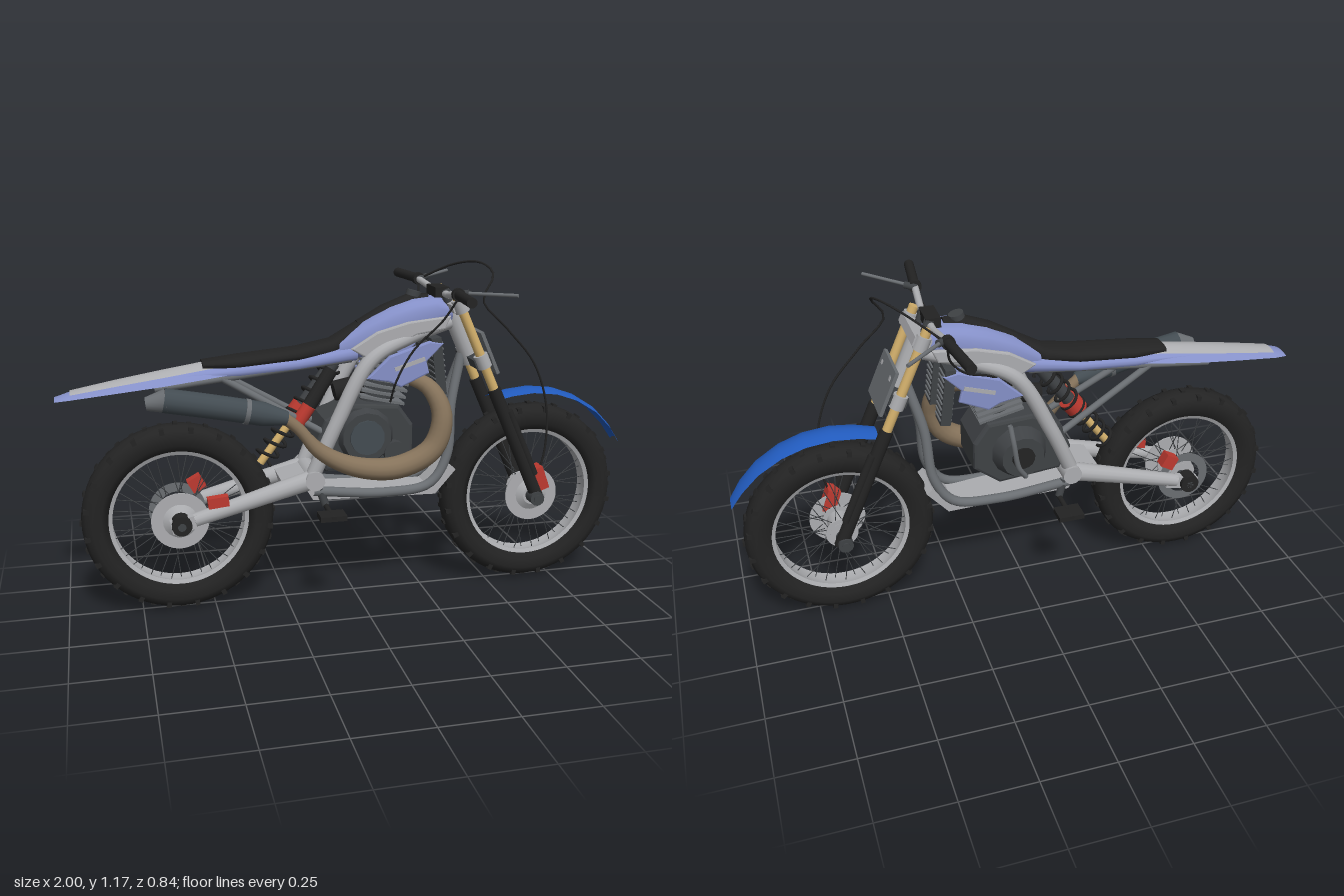
import * as THREE from 'three';
import { mergeGeometries, toCreasedNormals } from 'three/addons/utils/BufferGeometryUtils.js';

const colour = (name, hex) => {
  const m = new THREE.MeshStandardMaterial({ color: hex, side: THREE.DoubleSide });
  m.name = name;
  return m;
};
const black = colour('black rubber', 0x232323), dark = colour('dark metal', 0x3f4245);
const mid = colour('mid grey', 0x6a6e72), light = colour('light alloy', 0xacadb0);
const lilac = colour('lilac plastic', 0x8590c8), blue = colour('blue plastic', 0x215abc);
const gold = colour('gold fork', 0xd3b06c), brown = colour('brown pipe', 0x86735b);
const red = colour('red caliper', 0xbd3a30), slate = colour('slate silencer', 0x434c52);

const V = (p) => new THREE.Vector3(...p);
const sides = [1, -1];

export function createModel() {
  const model = new THREE.Group();
  model.name = 'dirtBike';
  const add = (name, geo, mat, parent = model) => {
    const m = new THREE.Mesh(geo, mat);
    m.name = name;
    parent.add(m);
    return m;
  };
  const rodGeo = (a, b, r, r2 = r, n = 14) => {
    const d = V(b).sub(V(a));
    const q = new THREE.Quaternion().setFromUnitVectors(new THREE.Vector3(0, 1, 0), d.clone().normalize());
    const c = V(a).addScaledVector(d, 0.5);
    return new THREE.CylinderGeometry(r2, r, d.length(), n).applyQuaternion(q).translate(c.x, c.y, c.z);
  };
  const rod = (name, a, b, r, mat, r2) => add(name, rodGeo(a, b, r, r2), mat);
  const box = (name, size, pos, mat, rz = 0) => {
    const m = add(name, new THREE.BoxGeometry(...size), mat);
    m.position.set(...pos);
    m.rotation.z = rz;
    return m;
  };
  // Smooth tube whose thickness may vary along its length
  const tube = (name, pts, r, mat, taper) => {
    const path = new THREE.CatmullRomCurve3(pts.map(V)), n = 40, k = r < 0.008 ? 6 : 14;
    const geo = new THREE.TubeGeometry(path, n, r, k), p = geo.attributes.position;
    if (taper) for (let i = 0; i < p.count; i++) {
      const t = Math.floor(i / (k + 1)) / n, c = path.getPointAt(t);
      const v = new THREE.Vector3().fromBufferAttribute(p, i).sub(c).multiplyScalar(taper(t)).add(c);
      p.setXYZ(i, v.x, v.y, v.z);
    }
    return add(name, geo, mat);
  };
  // Side outline in x,y extruded from z0 to z1
  const plate = (name, pts, z0, z1, mat, bevel = 0) => {
    const shape = new THREE.Shape(pts.map((p) => new THREE.Vector2(...p)));
    const geo = new THREE.ExtrudeGeometry(shape, { depth: z1 - z0 - 2 * bevel, bevelEnabled: bevel > 0,
      bevelSize: bevel, bevelThickness: bevel, bevelOffset: -bevel, bevelSegments: 2 });
    return add(name, geo.translate(0, 0, z0 + bevel), mat);
  };
  // Closed body from rounded sections: x, top, bottom, half width
  const loft = (name, secs, mat) => {
    const n = 20, pos = [], idx = [], pw = (v) => Math.sign(v) * Math.abs(v) ** 0.7;
    secs.forEach(([x, t, b, w]) => {
      for (let j = 0; j < n; j++) {
        const a = (j / n) * Math.PI * 2;
        pos.push(x, (t + b) / 2 + ((t - b) / 2) * pw(Math.sin(a)), w * pw(Math.cos(a)));
      }
    });
    const last = (secs.length - 1) * n;
    for (let i = 0; i < secs.length - 1; i++) for (let j = 0; j < n; j++) {
      const a = i * n + j, b = i * n + ((j + 1) % n);
      idx.push(a, a + n, b, a + n, b + n, b);
    }
    for (let j = 1; j < n - 1; j++) idx.push(0, j, j + 1, last, last + j + 1, last + j);
    const g = new THREE.BufferGeometry();
    g.setAttribute('position', new THREE.Float32BufferAttribute(pos, 3));
    g.setIndex(idx);
    return add(name, toCreasedNormals(g, 0.9), mat);
  };
  // Thin arched sheet from stations: x, y, half width, edge drop
  const sheet = (name, st, mat) => {
    const n = 10, g = new THREE.PlaneGeometry(1, 1, n, st.length - 1), p = g.attributes.position;
    for (let i = 0; i < p.count; i++) {
      const [x, y, w, d] = st[Math.floor(i / (n + 1))], u = ((i % (n + 1)) / n) * 2 - 1;
      p.setXYZ(i, x, y - d * u * u, w * u);
    }
    g.computeVertexNormals();
    return add(name, g, mat);
  };

  // Wheels: tyre, knobs, rim, hub, spokes, discs
  const lathe = (pts) => new THREE.LatheGeometry(pts.map((p) => new THREE.Vector2(...p)), 64).rotateX(Math.PI / 2);
  const wheel = (name, x, front) => {
    const g = new THREE.Group();
    g.name = name;
    g.position.set(x, 0.332, 0);
    model.add(g);
    add('tyre', lathe([[0.236, -0.035], [0.26, -0.05], [0.29, -0.053], [0.312, -0.044], [0.324, -0.022], [0.326, 0],
      [0.324, 0.022], [0.312, 0.044], [0.29, 0.053], [0.26, 0.05], [0.236, 0.035], [0.236, -0.035]]), black, g);
    add('rim', toCreasedNormals(lathe([[0.224, -0.03], [0.24, -0.037], [0.24, 0.037], [0.224, 0.03],
      [0.23, 0], [0.224, -0.03]]), 0.6), light, g);
    const knobs = [], spokes = [];
    for (let i = 0; i < 40; i++) {
      const zs = i % 2 ? [-0.036, 0.036] : [0];
      zs.forEach((z) => knobs.push(new THREE.BoxGeometry(0.016, 0.025, 0.024)
        .translate(0, z ? 0.309 : 0.3195, z).rotateZ((i / 40) * Math.PI * 2)));
    }
    for (let i = 0; i < 40; i++) {
      const a = (i / 40) * Math.PI * 2, b = a + (i % 4 < 2 ? 0.4 : -0.4), z = i % 2 ? 0.04 : -0.04;
      spokes.push(rodGeo([0.05 * Math.cos(b), 0.05 * Math.sin(b), z],
        [0.229 * Math.cos(a), 0.229 * Math.sin(a), z * 0.2], 0.0016, 0.0016, 5));
    }
    add('tyreKnobs', mergeGeometries(knobs), black, g);
    add('spokes', mergeGeometries(spokes), dark, g);
    add('hub', rodGeo([0, 0, -0.045], [0, 0, 0.045], 0.04, 0.04, 28), light, g);
    sides.forEach((s) => add('hubFlange', rodGeo([0, 0, s * 0.037], [0, 0, s * 0.044], 0.056, 0.056, 28), light, g));
    add('brakeDisc', rodGeo([0, 0, 0.056], [0, 0, 0.061], 0.098, 0.098, 40), light, g);
    add('hubCone', rodGeo([0, 0, 0.06], [0, 0, 0.075], 0.06, 0.035, 28), light, g);
    if (!front) add('rearRotor', new THREE.RingGeometry(0.065, 0.098, 40).translate(0, 0, -0.065), mid, g);
    add('axle', rodGeo([0, 0, -0.13], [0, 0, 0.13], 0.014), dark, g);
  };
  wheel('rearWheel', -0.615, false);
  wheel('frontWheel', 0.65, true);

  // Fork, swingarm and mirrored chassis parts
  const fork = (y, z, dx = 0) => [0.66 - (y - 0.33) * 0.44 + dx, y, z];
  for (const s of sides) {
    const z = s * 0.096;
    rod('forkTube', fork(0.7, z), fork(1.08, z), 0.0165, gold);
    rod('forkSlider', fork(0.32, z), fork(0.74, z), 0.023, black);
    rod('forkGuard', fork(0.42, z + s * 0.008, 0.02), fork(0.66, z + s * 0.008, 0.02), 0.014, black);
    rod('forkFoot', [0.65, 0.332, s * 0.065], [0.65, 0.332, s * 0.125], 0.026, dark);
    for (const y of [1.035, 0.84]) rod('forkClamp', fork(y - 0.022, z), fork(y + 0.022, z), 0.025, light);
    rod('swingarm', [-0.16, 0.455, s * 0.085], [-0.57, 0.345, s * 0.1], 0.034, light, 0.024);
    rod('axleBlock', [-0.615, 0.335, s * 0.08], [-0.615, 0.335, s * 0.13], 0.034, black);
    box('axleCarrier', [0.12, 0.045, 0.03], [-0.59, 0.338, s * 0.1], light, 0.2);
    tube('frameSpar', [[0.33, 0.97, s * 0.03], [0.18, 0.93, s * 0.07], [0.04, 0.86, s * 0.09],
      [-0.08, 0.65, s * 0.095], [-0.17, 0.45, s * 0.085]], 0.026, light);
    tube('downTube', [[0.39, 0.85, 0], [0.345, 0.68, s * 0.035], [0.325, 0.5, s * 0.06], [0.26, 0.405, s * 0.07],
      [0.1, 0.385, s * 0.075], [-0.16, 0.41, s * 0.08]], 0.017, mid);
    rod('subframeRail', [-0.02, 0.86, s * 0.05], [-0.68, 0.79, s * 0.05], 0.012, mid);
    rod('subframeStay', [-0.13, 0.62, s * 0.08], [-0.46, 0.815, s * 0.05], 0.012, mid);
    box('radiator', [0.035, 0.2, 0.07], [0.275, 0.83, s * 0.075], dark, 0.12);
    for (let i = 0; i < 9; i++) box('radiatorFin', [0.042, 0.006, 0.064], [0.286 - i * 0.0024, 0.75 + i * 0.02, s * 0.075], mid, 0.12);
    // Side shrouds
    plate('upperShroud', [[-0.03, 0.9], [0.06, 0.955], [0.17, 0.985], [0.32, 1.0], [0.3, 0.955], [0.2, 0.94],
      [0.1, 0.89], [0.02, 0.87]], s > 0 ? 0.078 : -0.096, s > 0 ? 0.096 : -0.078, light, 0.006);
    plate('lowerShroud', [[0.02, 0.8], [0.1, 0.875], [0.24, 0.92], [0.29, 0.91], [0.23, 0.85], [0.24, 0.81],
      [0.14, 0.765], [0.1, 0.785]], s > 0 ? 0.095 : -0.113, s > 0 ? 0.113 : -0.095, lilac, 0.006);
    box('shroudSlot', [0.11, 0.014, 0.006], [0.17, 0.845, s * 0.113], light, 0.3);
    // Pegs, bars and levers
    rod('pegArm', [-0.12, 0.36, s * 0.08], [-0.12, 0.355, s * 0.23], 0.009, black);
    box('footPeg', [0.09, 0.018, 0.07], [-0.12, 0.355, s * 0.195], black);
    rod('pegBracket', [-0.12, 0.36, s * 0.09], [-0.14, 0.42, s * 0.08], 0.014, dark);
    rod('grip', [0.297, 1.09, s * 0.23], [0.275, 1.091, s * 0.42], 0.017, black);
    rod('gripFlange', [0.298, 1.09, s * 0.215], [0.296, 1.09, s * 0.236], 0.022, black);
    rod('handlebarSide', [0.31, 1.07, s * 0.09], [0.297, 1.09, s * 0.23], 0.012, light);
    rod('leverPerch', [0.295, 1.09, s * 0.21], [0.33, 1.095, s * 0.235], 0.012, dark);
    rod('lever', [0.32, 1.095, s * 0.23], [0.45, 1.1, s * 0.36], 0.006, mid);
    rod('barClamp', [0.33, 1.03, s * 0.04], [0.31, 1.085, s * 0.04], 0.017, dark);
  }
  rod('handlebar', [0.31, 1.07, -0.092], [0.31, 1.07, 0.092], 0.012, light);
  box('barPad', [0.05, 0.035, 0.1], [0.3, 1.075, 0], black);
  box('upperTripleClamp', [0.06, 0.032, 0.2], fork(1.035, 0), light, 0.41);
  box('lowerTripleClamp', [0.06, 0.035, 0.2], fork(0.84, 0), dark, 0.41);
  rod('steeringHead', fork(0.82, 0, -0.015), fork(1.03, 0, -0.015), 0.032, light);
  box('numberPlate', [0.012, 0.16, 0.185], fork(0.865, 0, 0.04), mid, 0.41);
  sides.forEach((s) => box('plateBolt', [0.006, 0.014, 0.014], fork(0.908, s * 0.062, 0.046), light, 0.41));
  rod('swingarmPivot', [-0.16, 0.455, -0.12], [-0.16, 0.455, 0.12], 0.034, light);
  box('swingarmBridge', [0.09, 0.05, 0.18], [-0.22, 0.44, 0], light, 0.26);
  plate('skidPlate', [[-0.18, 0.41], [-0.16, 0.375], [0.28, 0.365], [0.355, 0.45], [0.335, 0.465], [0.26, 0.39]], -0.075, 0.075, light);

  // Brake calipers and master parts
  box('frontCaliper', [0.045, 0.085, 0.055], [0.665, 0.4, 0.08], red, 0.35);
  box('rearCaliper', [0.07, 0.035, 0.035], [-0.49, 0.405, 0.1], red, 0.1);
  box('rearCaliperInner', [0.05, 0.05, 0.04], [-0.545, 0.42, -0.075], red, 0.5);

  // Rear shock
  const shock = (t, z = 0) => [-0.07 - 0.26 * t, 0.84 - 0.34 * t, z];
  rod('shockBody', shock(0), shock(0.6), 0.024, dark);
  rod('shockCollar', shock(0.42), shock(0.56), 0.038, red);
  rod('shockRod', shock(0.6), shock(1), 0.014, gold);
  const coil = Array.from({ length: 73 }, (_, i) => {
    const a = (i / 72) * Math.PI * 18, c = shock(0.04 + i / 77), r = 0.036;
    return [c[0] + r * Math.cos(a) * 0.8, c[1] - r * Math.cos(a) * 0.6, r * Math.sin(a)];
  });
  add('shockSpring', new THREE.TubeGeometry(new THREE.CatmullRomCurve3(coil.map(V)), 240, 0.006, 6), black);
  rod('reservoir', [-0.09, 0.83, 0.06], [-0.17, 0.71, 0.07], 0.024, black);
  rod('reservoirCap', [-0.17, 0.71, 0.07], [-0.21, 0.65, 0.07], 0.024, red);

  // Engine
  plate('crankcase', [[-0.16, 0.56], [-0.12, 0.48], [0.1, 0.46], [0.19, 0.53], [0.19, 0.63], [0.14, 0.7],
    [-0.02, 0.71], [-0.12, 0.66]], -0.095, 0.095, dark, 0.012);
  rod('clutchCover', [0.02, 0.6, 0.09], [0.02, 0.6, 0.122], 0.1, dark, 0.085);
  rod('clutchCap', [0.02, 0.6, 0.12], [0.02, 0.6, 0.13], 0.06, slate);
  rod('waterPump', [0.12, 0.54, 0.09], [0.12, 0.54, 0.125], 0.04, dark);
  rod('flywheelCover', [0.03, 0.58, -0.09], [0.03, 0.58, -0.145], 0.1, dark, 0.075);
  rod('flywheelCap', [0.03, 0.58, -0.144], [0.03, 0.58, -0.152], 0.04, black);
  rod('cylinder', [0.08, 0.69, 0], [0.12, 0.87, 0], 0.06, dark);
  for (let i = 0; i < 7; i++) box('coolingFin', [0.16, 0.009, 0.15], [0.085 + i * 0.005, 0.715 + i * 0.022, 0], mid, -0.22);
  rod('carburettor', [0.03, 0.76, 0], [-0.07, 0.74, 0], 0.035, black);
  tube('kickLever', [[0.02, 0.5, -0.14], [0.05, 0.55, -0.155], [0.07, 0.65, -0.165], [0.08, 0.72, -0.155]], 0.009, mid);

  // Exhaust and silencer
  tube('exhaustPipe', [[0.17, 0.79, 0.04], [0.24, 0.76, 0.11], [0.275, 0.67, 0.15], [0.24, 0.56, 0.16], [0.12, 0.5, 0.16],
    [-0.03, 0.51, 0.155], [-0.15, 0.57, 0.145], [-0.22, 0.65, 0.14], [-0.28, 0.7, 0.145]], 0.04, brown,
    (t) => 0.5 + 0.5 * Math.sin(Math.PI * Math.min(1, t * 1.15)) ** 0.8);
  tube('silencer', [[-0.26, 0.69, 0.145], [-0.36, 0.715, 0.15], [-0.5, 0.745, 0.155], [-0.66, 0.775, 0.155]], 0.04, slate,
    (t) => Math.min(1, 0.6 + t * 2));
  rod('silencerEnd', [-0.65, 0.773, 0.155], [-0.715, 0.765, 0.15], 0.04, mid, 0.022);
  rod('silencerBand', [-0.385, 0.72, 0.151], [-0.4, 0.723, 0.151], 0.0425, mid);

  // Bodywork
  loft('tank', [[-0.06, 0.925, 0.85, 0.055], [0.03, 0.985, 0.86, 0.07], [0.12, 1.03, 0.885, 0.08], [0.2, 1.055, 0.91, 0.083],
    [0.28, 1.06, 0.94, 0.072], [0.34, 1.04, 0.97, 0.05]], lilac);
  loft('tankPad', [[0.01, 0.982, 0.95, 0.022], [0.1, 1.031, 0.98, 0.034], [0.19, 1.066, 1.0, 0.034], [0.26, 1.068, 1.02, 0.022]], black);
  rod('fuelCap', [0.21, 1.06, 0], [0.215, 1.078, 0], 0.026, dark);
  loft('seat', [[-0.52, 0.868, 0.845, 0.045], [-0.4, 0.882, 0.84, 0.058], [-0.2, 0.9, 0.855, 0.06], [-0.08, 0.925, 0.87, 0.052],
    [0.02, 0.985, 0.92, 0.038], [0.06, 1.008, 0.96, 0.03]], black);
  loft('sidePanel', [[-0.62, 0.83, 0.808, 0.05], [-0.4, 0.855, 0.81, 0.064], [-0.2, 0.872, 0.825, 0.066], [0, 0.91, 0.85, 0.07]], lilac);
  const tail = [[-1, 0.766, 0.042, 0.006], [-0.95, 0.783, 0.056, 0.016], [-0.8, 0.812, 0.066, 0.028], [-0.65, 0.838, 0.07, 0.038],
    [-0.5, 0.862, 0.066, 0.044], [-0.4, 0.87, 0.058, 0.04]];
  sheet('rearFender', tail, lilac);
  sheet('rearFenderPanel', tail.slice(1).map(([x, y, w, d]) => [x, y + 0.004, w * 0.68, d * 0.46]), light);

  // Front fender
  const arc = [[0.5, 0.695, 0.045], [0.57, 0.712, 0.05], [0.65, 0.72, 0.052], [0.74, 0.71, 0.052], [0.82, 0.682, 0.051],
    [0.9, 0.632, 0.048], [0.96, 0.57, 0.043], [1, 0.51, 0.034]];
  sheet('frontFender', arc.map(([x, y, w]) => [x, y, w, 0.015]), blue);

  // Cables
  tube('brakeHose', [[0.31, 1.095, -0.22], [0.4, 1.15, -0.13], [0.46, 1.165, -0.03], [0.475, 1.13, 0.07], [0.43, 1.05, 0.1],
    [0.52, 0.95, 0.1], [0.63, 0.82, 0.09], [0.685, 0.66, 0.085], [0.685, 0.5, 0.085], [0.665, 0.42, 0.085]], 0.004, black);
  tube('clutchCable', [[0.3, 1.085, 0.23], [0.26, 1.0, 0.185], [0.17, 0.9, 0.155], [0.11, 0.8, 0.16], [0.1, 0.72, 0.12]], 0.004, black);
  tube('throttleCable', [[0.3, 1.085, -0.23], [0.28, 1.0, -0.18], [0.22, 0.93, -0.14], [0.13, 0.89, -0.11], [0, 0.78, -0.04]], 0.004, black);
  return model;
}
